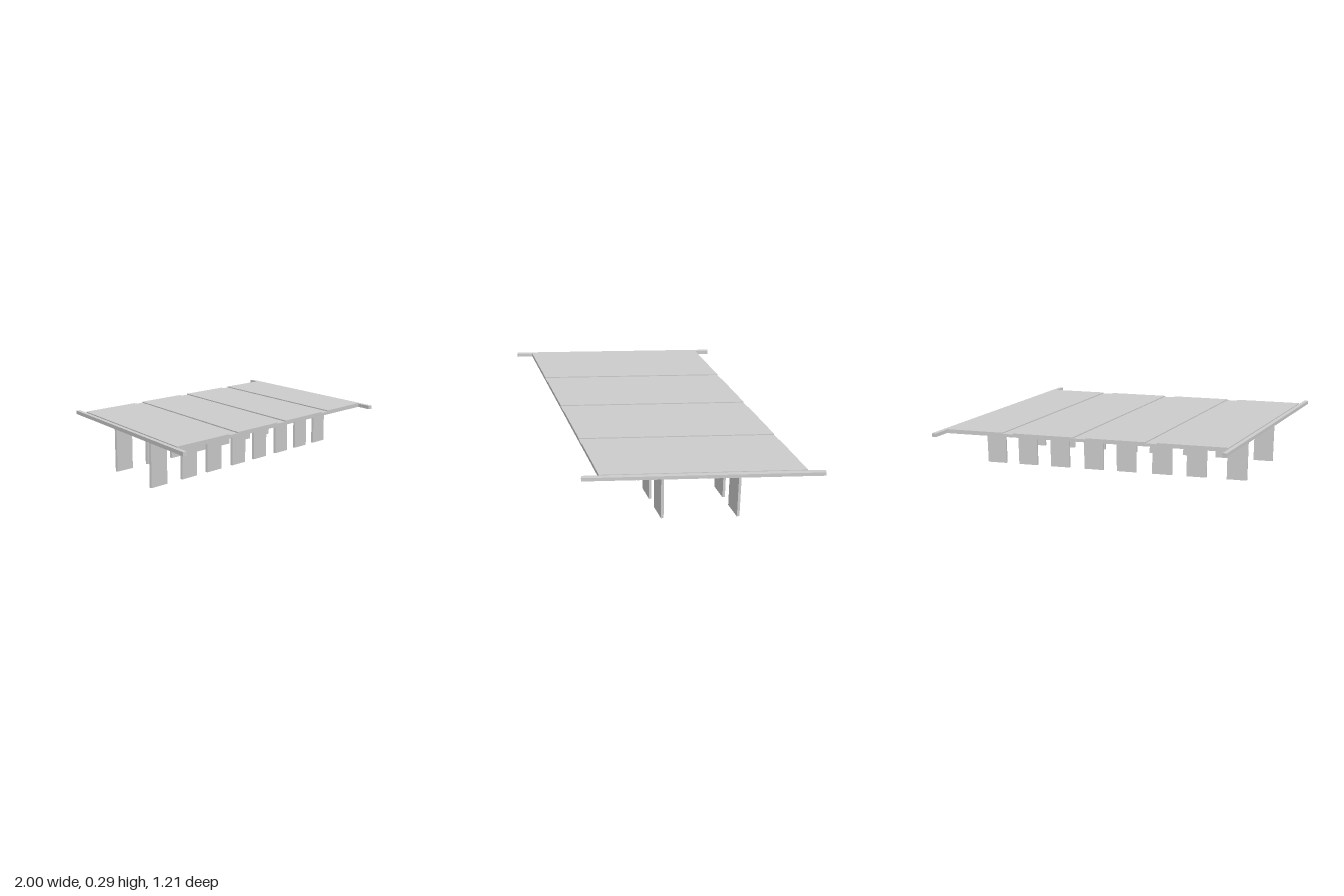
import * as THREE from 'three';

const material = new THREE.MeshStandardMaterial({ color: 0xcccccc, flatShading: true });

// Vertical prism over a plan outline of [x, z] corners
function prism(name, outline, bottom, top) {
  const shape = new THREE.Shape(outline.map(([x, z]) => new THREE.Vector2(x, z)));
  const geometry = new THREE.ExtrudeGeometry(shape, { depth: top - bottom, bevelEnabled: false });
  geometry.rotateX(Math.PI / 2).translate(0, top, 0);
  const mesh = new THREE.Mesh(geometry, material);
  mesh.name = name;
  return mesh;
}

// Skewed deck: x at the front edge is carried along the skew to the back edge
const FRONT = 0.513, BACK = -0.52;
const deckLeft = -0.955, deckRight = 0.65;
const backX = (x) => THREE.MathUtils.mapLinear(x, deckLeft, deckRight, -0.638, 0.955);
const strip = (x0, x1) => [[x0, FRONT], [x1, FRONT], [backX(x1), BACK], [backX(x0), BACK]];

export function createModel() {
  const model = new THREE.Group();
  model.name = 'skewedBridge';

  // Deck slab with four raised panels, divided by shallow grooves
  model.add(prism('deckSlab', strip(deckLeft, deckRight), 0.264, 0.281));
  const panels = [[-0.948, -0.565], [-0.5, -0.165], [-0.095, 0.247], [0.312, 0.645]];
  panels.forEach(([x0, x1], i) => model.add(prism(`deckPanel${i + 1}`, strip(x0, x1), 0.281, 0.287)));

  // Edge beams running past both ends of the deck
  model.add(prism('rightEdgeBeam',
    [[-1, 0.6], [-0.978, 0.607], [-0.61, -0.601], [-0.632, -0.608]], 0.263, 0.283));
  model.add(prism('leftEdgeBeam',
    [[0.618, 0.6], [0.64, 0.607], [1, -0.601], [0.976, -0.608]], 0.263, 0.283));

  // Two rows of thin piers, the back row shifted along the skew
  const pierX = [-0.82, -0.59, -0.39, -0.18, 0.015, 0.22, 0.418, 0.612];
  const pier = new THREE.BoxGeometry(0.115, 0.266, 0.015);
  for (const [row, shift, z] of [['front', 0, 0.196], ['back', 0.115, -0.19]]) {
    const group = new THREE.Group();
    group.name = `${row}PierRow`;
    pierX.forEach((x, i) => {
      const mesh = new THREE.Mesh(pier, material);
      mesh.name = `${row}Pier${i + 1}`;
      mesh.position.set(x + shift + 0.0575, 0.133, z);
      group.add(mesh);
    });
    model.add(group);
  }
  return model;
}
